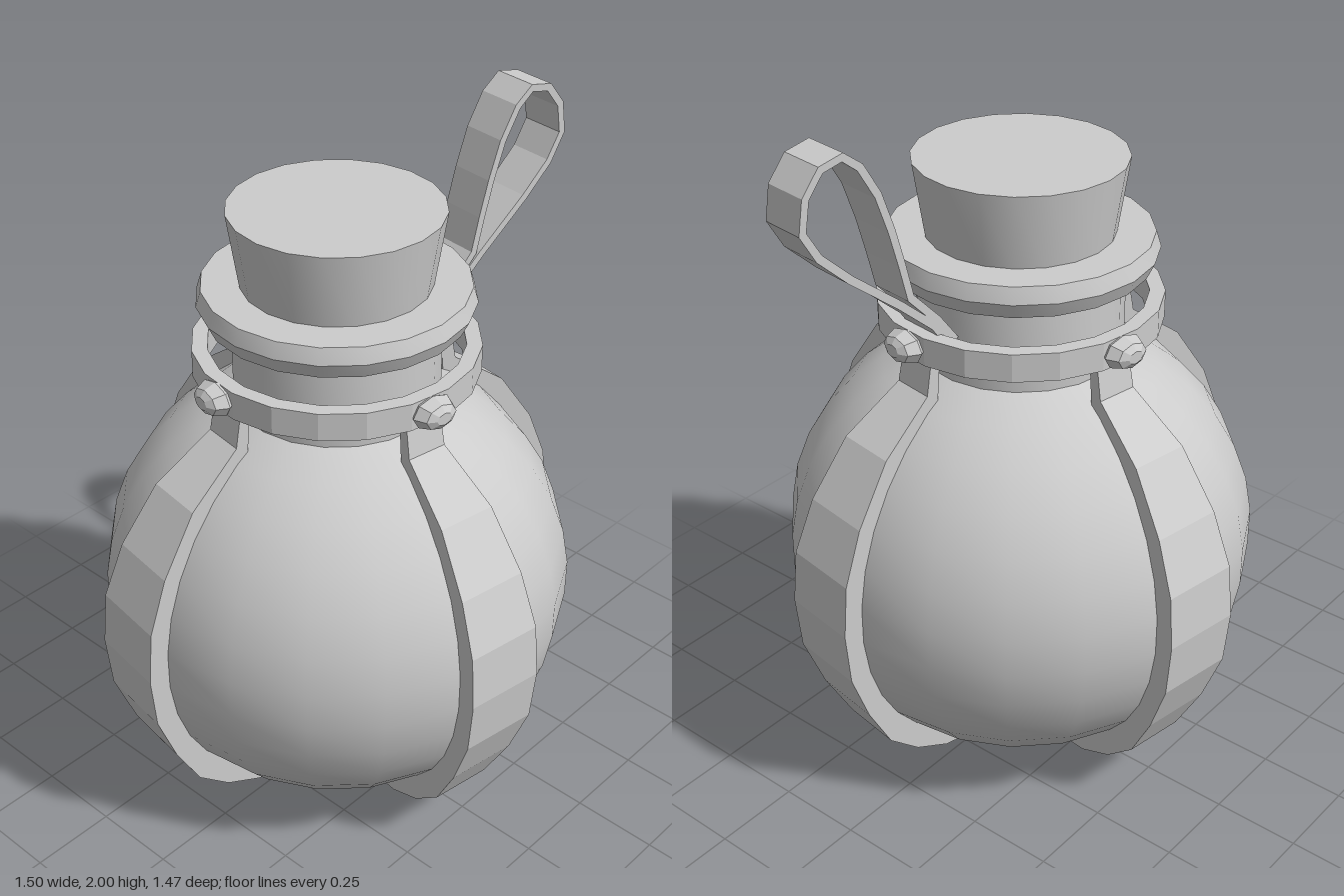
import * as THREE from 'three';
import { toCreasedNormals } from 'three/addons/utils/BufferGeometryUtils.js';

const SIDES = 20;
const STEP = (Math.PI * 2) / SIDES;
const rad = THREE.MathUtils.degToRad;
const V = (x, y) => new THREE.Vector2(x, y);

const smooth = new THREE.MeshStandardMaterial({ color: 0xcccccc });
const flat = new THREE.MeshStandardMaterial({ color: 0xcccccc, flatShading: true });
const flatDouble = new THREE.MeshStandardMaterial({ color: 0xcccccc, flatShading: true, side: THREE.DoubleSide });

function add(parent, name, geometry, material) {
  const mesh = new THREE.Mesh(geometry, material);
  mesh.name = name;
  parent.add(mesh);
  return mesh;
}

const turned = (points) =>
  toCreasedNormals(new THREE.LatheGeometry(points.map(p => V(...p)), SIDES), 0.55);

// Point on the round belly at a latitude in degrees
const belly = (deg, r = 0.67) => [r * Math.cos(rad(deg)), 0.667 + (r - 0.02) * Math.sin(rad(deg))];

// Constant-thickness ribbon outline following a path
function ribbonShape(path, thickness) {
  const left = [], right = [];
  path.forEach((p, i) => {
    const a = path[Math.max(i - 1, 0)], b = path[Math.min(i + 1, path.length - 1)];
    const t = b.clone().sub(a).normalize();
    const n = V(-t.y, t.x).multiplyScalar(thickness / 2);
    left.push(p.clone().add(n));
    right.unshift(p.clone().sub(n));
  });
  return new THREE.Shape([...left, ...right]);
}

export function createModel() {
  const group = new THREE.Group();
  group.name = 'corkedFlask';
  group.position.x = -0.01;

  // Round belly with flat underside
  const body = [[0, belly(-75)[1]]];
  for (let i = 0; i <= 14; i++) body.push(belly(-75 + i * 10));
  add(group, 'body', turned(body), smooth);

  // Neck, lip and cork
  add(group, 'neck', turned([[0.285, 1.25], [0.285, 1.53]]), smooth);
  add(group, 'lip', turned([[0.27, 1.51], [0.355, 1.51], [0.376, 1.555], [0.362, 1.6], [0.2, 1.6]]), smooth);
  add(group, 'cork', turned([[0.257, 1.59], [0.29, 1.81], [0, 1.81]]), smooth);

  // Hollow collar band around the neck
  const band = [[0.35, 1.345], [0.393, 1.345], [0.393, 1.425], [0.35, 1.425], [0.35, 1.345]];
  add(group, 'collarBand', new THREE.LatheGeometry(band.map(p => V(...p)), SIDES), flat);

  // Strap cross-section: outer edge upward, inner edge back down
  const strap = [
    [0, 0], [0.19, 0], [0.345, 0.04], [0.47, 0.11], [0.58, 0.21], [0.66, 0.355], [0.72, 0.51],
    [0.735, 0.667], [0.72, 0.82], [0.66, 0.97], [0.55, 1.13], [0.385, 1.25], [0.362, 1.37],
    [0.33, 1.37], [0.345, 1.215],
  ];
  for (let a = 55; a >= -75; a -= 10) strap.push(belly(a, 0.665));
  strap.push([0, 0.045]);
  const strapPoints = strap.map(p => V(...p));
  const strapGeometry = new THREE.LatheGeometry([...strapPoints, strapPoints[0]], 1, -STEP, STEP);
  const strapSide = new THREE.ShapeGeometry(new THREE.Shape(strapPoints));

  // Faceted stud, pointing along +z
  const studGeometry = new THREE.LatheGeometry(
    [V(0.045, -0.02), V(0.066, 0.008), V(0.05, 0.042), V(0.025, 0.055), V(0, 0.055)], 8);
  studGeometry.rotateX(Math.PI / 2).scale(1, 0.7, 1);

  // Four straps, each with a stud on the collar
  for (let i = 0; i < 4; i++) {
    const arm = new THREE.Group();
    arm.name = 'strapAssembly';
    arm.rotation.y = i * Math.PI / 2;
    add(arm, 'strap', strapGeometry, flat);
    for (const phi of [0, -STEP])
      add(arm, 'strapSide', strapSide, flatDouble).rotation.y = phi - Math.PI / 2;
    const stud = add(arm, 'stud', studGeometry, flat);
    stud.rotation.y = -STEP / 2;
    stud.position.set(-Math.sin(STEP / 2) * 0.39, 1.385, Math.cos(STEP / 2) * 0.39);
    group.add(arm);
  }

  // Hanging loop rising from the collar on the left
  const loopPath = [
    [0.29, 1.39], [0.35, 1.47], [0.435, 1.56], [0.46, 1.66], [0.488, 1.76], [0.525, 1.865],
    [0.575, 1.95], [0.625, 1.989], [0.69, 1.975], [0.738, 1.915], [0.752, 1.83], [0.708, 1.755],
    [0.62, 1.672], [0.47, 1.552], [0.36, 1.455], [0.3, 1.37],
  ].map(p => V(...p));
  const loopGeometry = new THREE.ExtrudeGeometry(ribbonShape(loopPath, 0.022),
    { depth: 0.13, bevelEnabled: false });
  loopGeometry.translate(0, 0, -0.065);
  add(group, 'hangingLoop', loopGeometry, flatDouble).rotation.y = -rad(7.8);

  return group;
}
